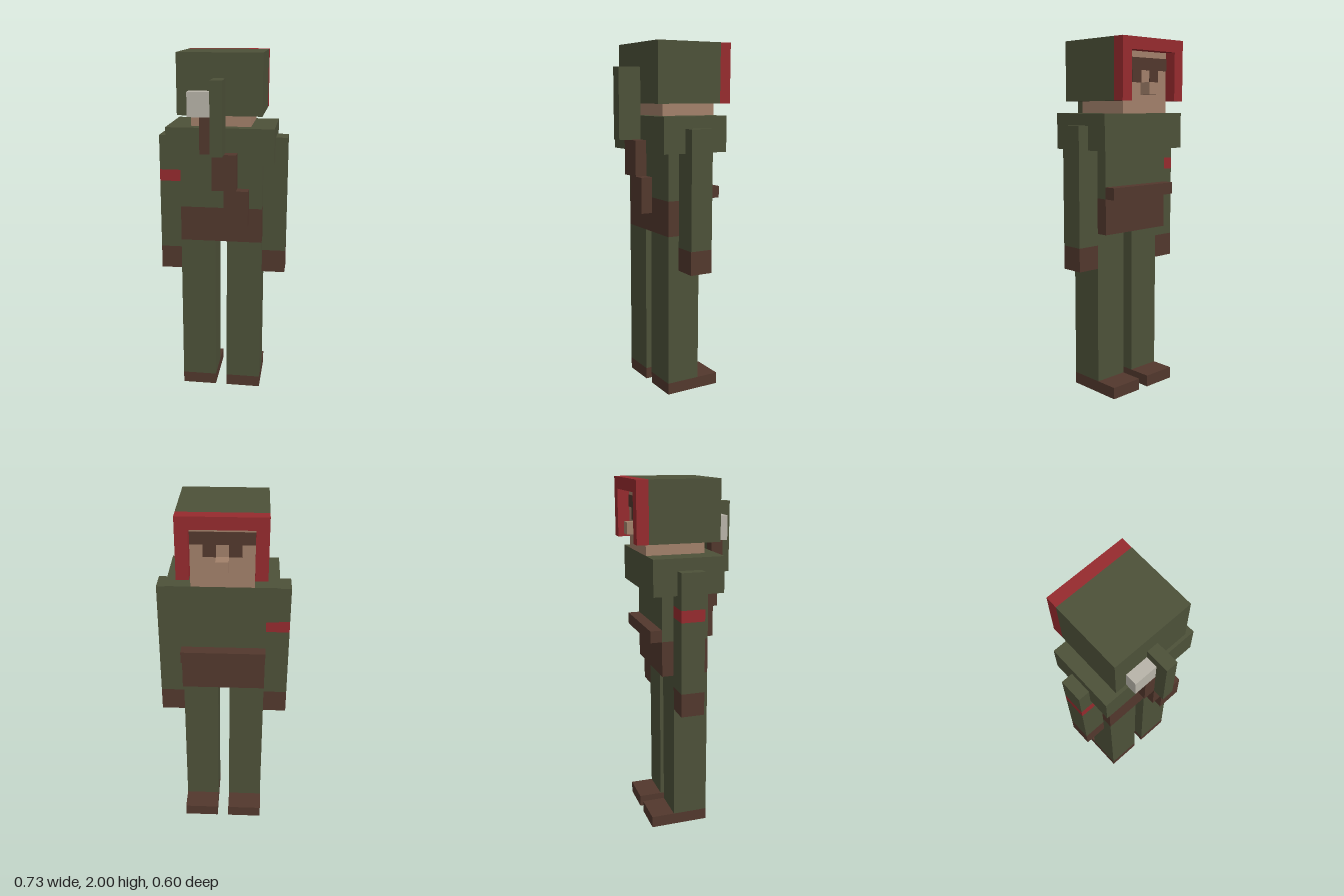
import * as THREE from 'three';

const mat = (name, color) => {
  const m = new THREE.MeshStandardMaterial({ color });
  m.name = name;
  return m;
};

export function createModel() {
  const green = mat('olive cloth', 0x4d5139);
  const brown = mat('brown leather', 0x52382d);
  const red = mat('red trim', 0x962b2e);
  const skin = mat('skin', 0xa2806a);
  const grey = mat('pale grey', 0xb8b4a9);

  const model = new THREE.Group();
  model.name = 'hoodedFigure';

  // Every size is a whole number of half pixels, 30 to the unit.
  const U = 1 / 30;
  const box = (parent, name, material, x0, x1, y0, y1, z0, z1) => {
    const mesh = new THREE.Mesh(
      new THREE.BoxGeometry((x1 - x0) * U, (y1 - y0) * U, (z1 - z0) * U), material);
    mesh.position.set((x0 + x1) / 2 * U, (y0 + y1) / 2 * U, (z0 + z1) / 2 * U);
    mesh.name = name;
    parent.add(mesh);
    return mesh;
  };
  const part = (name) => {
    const g = new THREE.Group();
    g.name = name;
    model.add(g);
    return g;
  };
  // Box from x0 to x1 on the given side of the body
  const sideBox = (parent, s, name, material, x0, x1, ...rest) =>
    box(parent, name, material, Math.min(s * x0, s * x1), Math.max(s * x0, s * x1), ...rest);

  // Head, facing -z, with nose and dark brow
  const head = part('head');
  box(head, 'face', skin, -5, 5, 48, 58, -7, 3);
  box(head, 'nose', skin, -1, 1, 51, 53, -9, -7);
  const front = -7.12; // thin painted plates
  box(head, 'brow', brown, -5, 5, 55, 57, front, -7);
  for (const s of [-1, 1]) sideBox(head, s, 'eyePatch', brown, 1, 3, 53, 55, front, -7);

  // Hood around the head, and its open red trim
  const hood = part('hood');
  box(hood, 'hoodTop', green, -7, 7, 58, 60, -7, 5);
  box(hood, 'hoodBack', green, -7, 7, 50, 58, 3, 5);
  box(hood, 'trimTop', red, -7, 7, 58, 60, -9, -7);
  for (const s of [-1, 1]) {
    sideBox(hood, s, 'hoodSide', green, 5, 7, 50, 58, -7, 3);
    sideBox(hood, s, 'trimSide', red, 5, 7, 50, 58, -9, -7);
  }

  // Body
  const body = part('body');
  box(body, 'shoulderCape', green, -9, 9, 42, 48, -7, 5);
  box(body, 'torso', green, -7, 7, 34, 42, -5, 3);
  box(body, 'waistBand', brown, -7, 7, 28, 34, -5, 3);
  box(body, 'waistFlap', brown, -7, 7, 34, 36, -7, -5);

  // Limbs
  for (const s of [-1, 1]) {
    const side = s > 0 ? 'left' : 'right';
    const arm = part(side + 'Arm');
    sideBox(arm, s, 'glove', brown, 7, 11, 22, 26, -3, 1);
    if (s < 0) {
      sideBox(arm, s, 'lowerSleeve', green, 7, 11, 26, 38, -3, 1);
      sideBox(arm, s, 'armband', red, 7, 11, 38, 40, -3, 1);
      sideBox(arm, s, 'upperSleeve', green, 7, 11, 40, 46, -3, 1);
    } else {
      sideBox(arm, s, 'sleeve', green, 7, 11, 26, 46, -3, 1);
    }
    const leg = part(side + 'Leg');
    sideBox(leg, s, 'trouser', green, 1, 7, 2, 28, -3, 3);
    sideBox(leg, s, 'boot', brown, 1, 7, 0, 2, -7, 3);
  }

  // Stepped tool carried on the back
  const tool = part('backTool');
  box(tool, 'toolWrap', green, -1, 1, 44, 56, 5, 9);
  box(tool, 'toolHead', grey, -5, -1, 50, 54, 5, 7);
  box(tool, 'upperHandle', brown, -3, -1, 44, 50, 5, 7);
  box(tool, 'middleHandle', brown, -1, 3, 38, 44, 5, 7);
  box(tool, 'lowerHandle', brown, 1, 5, 32, 38, 5, 7);

  return model;
}
